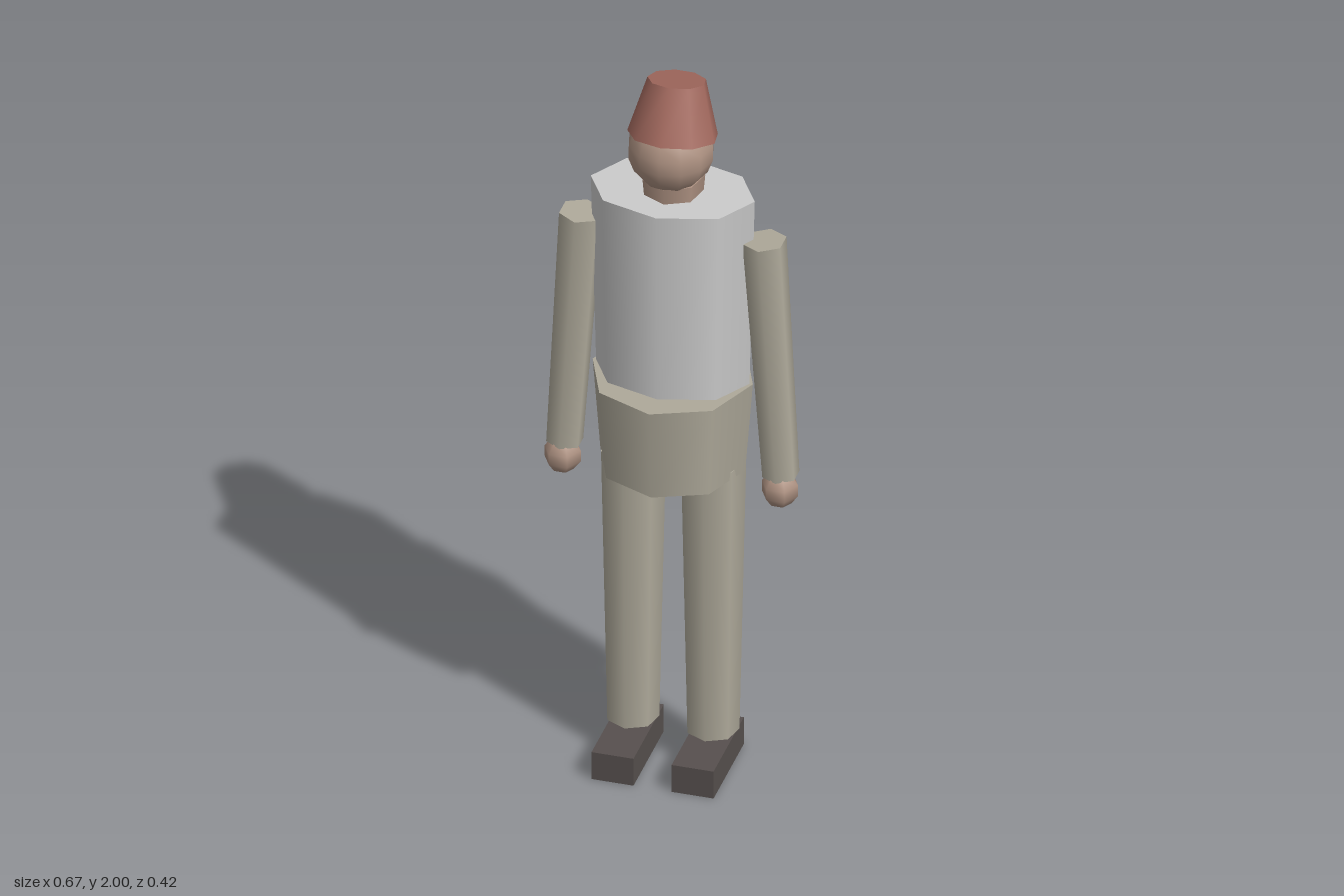
import * as THREE from 'three';

const mat = (color) => new THREE.MeshStandardMaterial({ color });

export function createModel() {
  const group = new THREE.Group();
  const khaki = mat(0xaea99a), skin = mat(0xae9282), red = mat(0xa1685d);
  const dark = mat(0x57504e), grey = mat(0xcccccc);

  const add = (name, geometry, material, x, y, z) => {
    const mesh = new THREE.Mesh(geometry, material);
    mesh.name = name;
    mesh.position.set(x, y, z);
    group.add(mesh);
    return mesh;
  };
  const tube = (top, bottom, height, sides) => new THREE.CylinderGeometry(top, bottom, height, sides);

  // Torso, an oval eight-sided column
  add('torso', tube(0.215, 0.201, 0.55, 8).scale(1, 1, 0.68), grey, 0, 1.405, 0);

  // Flared skirt of the jacket
  add('hips', tube(0.21, 0.19, 0.26, 8), khaki, 0, 1.005, 0);

  // Neck and head
  add('neck', tube(0.082, 0.075, 0.08, 7), skin, 0, 1.685, 0);
  add('head', new THREE.SphereGeometry(0.111, 12, 9), skin, -0.003, 1.805, 0.005);

  // Tapered hat, tipped backwards
  add('hat', tube(0.075, 0.116, 0.147, 9), red, 0, 1.911, -0.02).rotation.x = -0.24;

  for (const [side, s] of [['left', 1], ['right', -1]]) {
    // Arm leaning outwards, with its hand
    add(side + 'Arm', tube(0.057, 0.048, 0.69, 6), khaki, s * 0.262, 1.225, 0).rotation.z = s * 0.062;
    add(side + 'Hand', new THREE.SphereGeometry(0.05, 6, 5), skin, s * 0.285, 0.847, 0.012);

    // Leg and shoe
    add(side + 'Leg', tube(0.085, 0.068, 0.805, 7), khaki, s * 0.105, 0.4975, 0.003);
    add(side + 'Shoe', new THREE.BoxGeometry(0.11, 0.08, 0.266), dark, s * 0.105, 0.04, 0.045);
  }
  return group;
}
